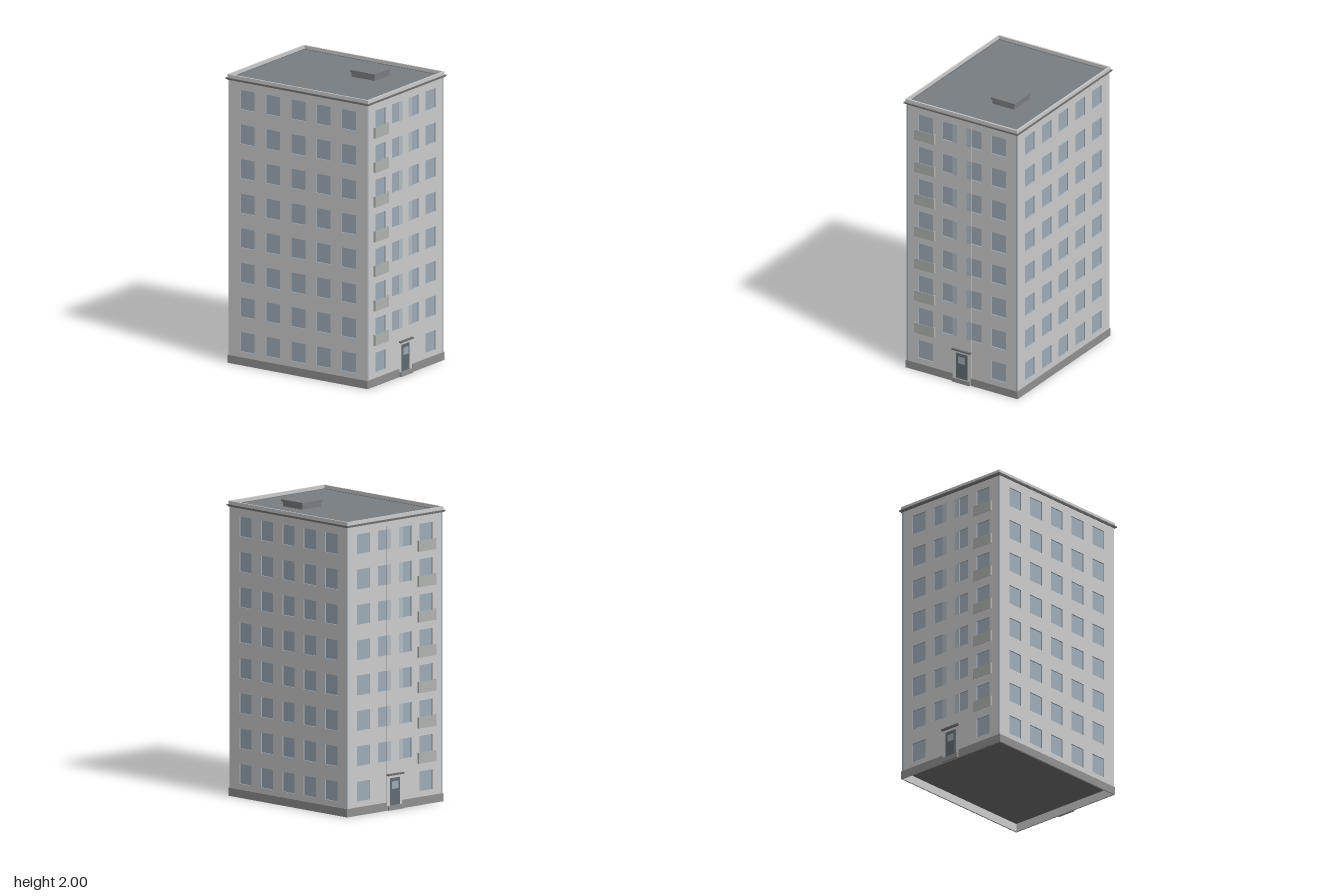
import * as THREE from 'three';

const mat = (color) => new THREE.MeshStandardMaterial({ color });
const WALL = mat(0xcccccc), GLASS = mat(0x9eacb7), PLINTH = mat(0x909090), ROOF = mat(0x787d82);
const TRIM = mat(0x707070), PARAPET = mat(0xc0c0c0), BALCONY = mat(0xb0b3b0), STRIP = mat(0xc2c5c5);
const STRIP_GLASS = mat(0xb0bcc4), DOOR = mat(0x606b70), FLOOR = mat(0x6c6c6c);

const HX = 0.56, HZ = 0.435;          // half width and half depth of the walls
const WALL_TOP = 1.95, FLOOR_Y = 0.055, RECESS = 0.01;
const WIN_W = 0.116, WIN_H = 0.133, STOREY = 0.237, FLOORS = 8;
const rowY = (r) => 0.16 + r * STOREY;

// Box given by its centre in x and z and its bottom and top in y
function box(parent, name, material, x, z, w, d, y0, y1) {
  const m = new THREE.Mesh(new THREE.BoxGeometry(w, y1 - y0, d), material);
  m.name = name;
  m.position.set(x, (y0 + y1) / 2, z);
  parent.add(m);
}

function rect(path, x0, y0, x1, y1) {
  path.moveTo(x0, y0);
  path.lineTo(x1, y0);
  path.lineTo(x1, y1);
  path.lineTo(x0, y1);
  path.closePath();
  return path;
}

// Rectangular ring lying flat, used for cornice, parapet and footing
function ring(parent, name, material, hx, hz, ix, iz, y0, y1) {
  const s = rect(new THREE.Shape(), -hx, -hz, hx, hz);
  s.holes.push(rect(new THREE.Path(), -ix, -iz, ix, iz));
  const g = new THREE.ExtrudeGeometry(s, { depth: y1 - y0, bevelEnabled: false });
  g.rotateX(-Math.PI / 2);
  const m = new THREE.Mesh(g, material);
  m.name = name;
  m.position.y = y0;
  parent.add(m);
}

// Wall facing +z with window openings and recessed panes
function windowWall(name, half, windows) {
  const wall = new THREE.Group();
  wall.name = name;
  const s = rect(new THREE.Shape(), -half, FLOOR_Y, half, WALL_TOP);
  for (const [x, y] of windows) {
    s.holes.push(rect(new THREE.Path(), x - WIN_W / 2, y - WIN_H / 2, x + WIN_W / 2, y + WIN_H / 2));
    box(wall, 'windowPane', GLASS, x, -RECESS, WIN_W, 0.003, y - WIN_H / 2, y + WIN_H / 2);
  }
  const g = new THREE.ExtrudeGeometry(s, { depth: RECESS, bevelEnabled: false });
  g.translate(0, 0, -RECESS);
  const m = new THREE.Mesh(g, [WALL, GLASS]);   // reveals take the glass colour
  m.name = 'wallPanel';
  wall.add(m);
  return wall;
}

// Balcony screen: front panel and two ends, open above and below
function balcony(parent, x, y0, y1) {
  const b = new THREE.Group();
  b.name = 'balcony';
  box(b, 'balconyFront', BALCONY, x, 0.0145, 0.158, 0.003, y0, y1);
  for (const k of [-1, 1])
    box(b, 'balconyEnd', BALCONY, x + k * 0.0775, 0.0065, 0.003, 0.013, y0, y1);
  parent.add(b);
}

// Entrance side: the wall faces local +z; s sets where the balconies sit
function entranceSide(name, s) {
  const windows = [];
  for (let r = 0; r < FLOORS; r++)
    for (const x of [-0.287, -0.095, 0.095, 0.287])
      if (r > 0 || Math.abs(x) > 0.2) windows.push([x, rowY(r)]);
  const side = windowWall(name, HZ - RECESS, windows);

  // Pale stair strip with the inner windows showing through it
  box(side, 'stairStrip', STRIP, 0, -0.001, 0.146, 0.003, 0, 1.91);
  for (let r = 1; r < FLOORS; r++) {
    const y = rowY(r);
    for (const k of [-1, 1])
      box(side, 'stripPane', STRIP_GLASS, k * 0.055, -0.0005, 0.036, 0.003, y - WIN_H / 2, y + WIN_H / 2);
    balcony(side, s * 0.288, y - 0.117, y - 0.043);
  }

  // Entrance
  box(side, 'doorFrame', DOOR, 0, 0.001, 0.09, 0.004, 0.03, 0.213);
  box(side, 'door', DOOR, 0, 0.002, 0.066, 0.004, 0.03, 0.2);
  box(side, 'doorGlass', GLASS, 0, 0.003, 0.056, 0.004, 0.14, 0.19);
  box(side, 'canopy', TRIM, 0, 0.008, 0.146, 0.017, 0.232, 0.243);
  box(side, 'doorStep', PLINTH, 0, 0.008, 0.136, 0.017, 0, 0.03);

  // Plinth on both sides of the entrance
  for (const k of [-1, 1])
    box(side, 'sidePlinth', PLINTH, k * (0.073 + HZ) / 2, 0.002, HZ - 0.073, 0.006, 0, 0.055);
  return side;
}

export function createModel() {
  const model = new THREE.Group();
  model.name = 'apartmentBlock';

  // Inner core, underside and hollow footing
  const coreW = 2 * (HX - RECESS), coreD = 2 * (HZ - RECESS);
  box(model, 'core', WALL, 0, 0, coreW, coreD, FLOOR_Y + 0.01, WALL_TOP - 0.01);
  box(model, 'underside', FLOOR, 0, 0, coreW, coreD, FLOOR_Y - 0.002, FLOOR_Y + 0.008);
  ring(model, 'footing', WALL, HX, HZ, HX - 0.005, HZ - 0.005, 0, FLOOR_Y);

  // Long walls with five windows per storey
  const grid = [];
  for (let r = 0; r < FLOORS; r++)
    for (let c = -2; c <= 2; c++) grid.push([c * 0.204, rowY(r)]);
  for (const k of [1, -1]) {
    const wall = windowWall(k > 0 ? 'frontWall' : 'backWall', HX, grid);
    box(wall, 'longPlinth', PLINTH, 0, 0.002, 2 * HX + 0.01, 0.006, 0, 0.055);
    wall.position.z = k * HZ;
    if (k < 0) wall.rotation.y = Math.PI;
    model.add(wall);
  }

  // Short sides, mirrored about x = 0
  for (const k of [1, -1]) {
    const side = entranceSide(k > 0 ? 'leftSide' : 'rightSide', -k);
    side.position.x = k * HX;
    side.rotation.y = k * Math.PI / 2;
    model.add(side);
  }

  // Flat roof with cornice, parapet and hatch
  box(model, 'roof', ROOF, 0, 0, 1.115, 0.858, 1.942, 1.953);
  ring(model, 'corniceLower', TRIM, 0.57, 0.442, 0.55, 0.42, 1.941, 1.946);
  ring(model, 'cornice', TRIM, 0.577, 0.448, 0.55, 0.42, 1.946, 1.955);
  ring(model, 'parapet', PARAPET, 0.568, 0.439, 0.556, 0.428, 1.95, 1.978);
  box(model, 'hatchBase', ROOF, 0.18, -0.14, 0.186, 0.17, 1.95, 1.99);
  box(model, 'hatchLid', ROOF, 0.18, -0.14, 0.202, 0.186, 1.985, 2);
  return model;
}
